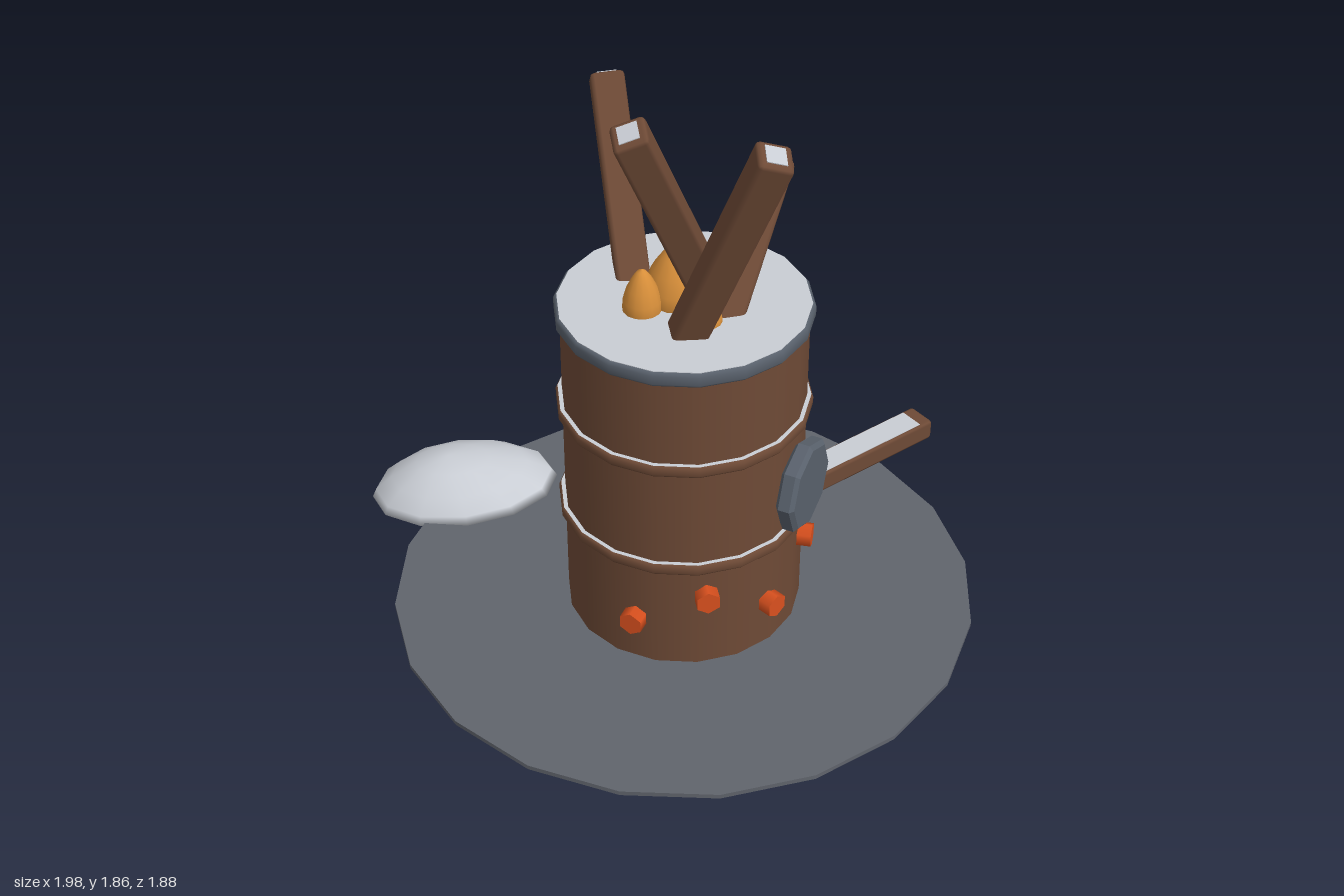
import * as THREE from 'three';
import { RoundedBoxGeometry } from 'three/addons/geometries/RoundedBoxGeometry.js';

const mat = (name, color, side = THREE.FrontSide) => {
  const m = new THREE.MeshStandardMaterial({ color, side });
  m.name = name;
  return m;
};

export function createModel() {
  const rust = mat('rusty brown', 0x6e4a36);
  const slate = mat('slate metal', 0x59616c);
  const ground = mat('ash ground', 0x60646c);
  const snow = mat('snow', 0xc9cdd4);
  const ember = mat('ember orange', 0xd9501e);
  const flame = mat('flame amber', 0xd88f3a);

  const model = new THREE.Group();
  model.name = 'fireBarrel';
  const CX = 0.015;
  const add = (name, geo, material, x = 0, y = 0, z = 0, parent = model) => {
    const mesh = new THREE.Mesh(geo, material);
    mesh.name = name;
    mesh.position.set(x, y, z);
    parent.add(mesh);
    return mesh;
  };
  const lathe = (pts, seg) => new THREE.LatheGeometry(pts.map(([r, y]) => new THREE.Vector2(r, y)), seg);

  // Ground disc
  add('groundDisc', new THREE.CylinderGeometry(0.94, 0.94, 0.015, 20), ground, CX, 0.0185, 0);

  // Barrel body, hoops, rim and snowy lid
  add('barrelBody', new THREE.CylinderGeometry(0.377, 0.377, 1.1, 18), rust, CX, 0.565, 0);
  const hoop = [[0.37, -0.019], [0.389, -0.019], [0.396, -0.01], [0.396, 0.01], [0.389, 0.019], [0.37, 0.019]];
  for (const y of [0.413, 0.79]) {
    add('barrelHoop', lathe(hoop, 18), rust, CX, y, 0);
    const cap = add('hoopSnow', new THREE.RingGeometry(0.375, 0.39, 18), snow, CX, y + 0.021, 0);
    cap.rotation.set(-Math.PI / 2, 0, Math.PI / 2);
  }
  const rim = [[0.37, -0.024], [0.385, -0.024], [0.393, -0.014], [0.393, 0.014], [0.385, 0.024], [0.37, 0.024]];
  add('barrelRim', lathe(rim, 18), slate, CX, 1.12, 0);
  add('lidSnow', new THREE.CylinderGeometry(0.383, 0.383, 0.005, 18), snow, CX, 1.1435, 0);

  // Glowing vent plugs, alternating in height around the barrel
  for (let i = 0; i < 7; i++) {
    const a = THREE.MathUtils.degToRad(-84 + 34 * i);
    const plug = add('ventPlug', new THREE.CylinderGeometry(0.04, 0.04, 0.055, 6).toNonIndexed(), ember,
      CX + 0.388 * Math.cos(a), i % 2 ? 0.3 : 0.19, 0.388 * Math.sin(a));
    plug.rotation.set(Math.PI / 2, Math.PI / 2 - a, 0, 'YXZ');
  }

  // Octagonal hatch on the side
  const oct = new THREE.Shape();
  for (let i = 0; i < 8; i++) {
    const a = i * Math.PI / 4;
    oct[i ? 'lineTo' : 'moveTo'](0.135 * Math.cos(a), 0.135 * Math.sin(a));
  }
  oct.closePath();
  const hatchGeo = new THREE.ExtrudeGeometry(oct, {
    depth: 0.036, bevelEnabled: true, bevelThickness: 0.012, bevelSize: 0.014, bevelSegments: 1,
  });
  hatchGeo.translate(0, 0, -0.018);
  const hatchAngle = THREE.MathUtils.degToRad(32);
  const hatch = add('sideHatch', hatchGeo, slate,
    CX + 0.402 * Math.cos(hatchAngle), 0.58, 0.402 * Math.sin(hatchAngle));
  hatch.rotation.y = Math.PI / 2 - hatchAngle;

  // Logs leaning out of the barrel: [base, tip]
  const logs = [
    [[0.1, 1.15, 0.02], [-0.165, 1.84, 0.22]],
    [[0.01, 1.15, 0.165], [0.22, 1.82, 0.35]],
    [[-0.125, 1.13, -0.165], [-0.165, 1.635, -0.52]],
    [[0.125, 1.12, 0.07], [0.31, 1.5, -0.19]],
  ];
  const up = new THREE.Vector3(0, 1, 0);
  logs.forEach(([b, t]) => {
    const base = new THREE.Vector3(...b), tip = new THREE.Vector3(...t);
    const dir = tip.clone().sub(base).normalize();
    const len = tip.distanceTo(base) + 0.1;
    const log = new THREE.Group();
    log.name = 'log';
    log.position.copy(tip);
    log.quaternion.setFromUnitVectors(up, dir);
    model.add(log);
    add('logWood', new RoundedBoxGeometry(0.105, len, 0.105, 1, 0.014), rust, 0, -len / 2, 0, log);
    add('logSnow', new THREE.BoxGeometry(0.06, 0.006, 0.065), snow, 0, 0, 0, log);
  });

  // Flames: teardrops [x, z, radius, top]
  const drop = [[0.9, 0], [1, 0.12], [0.96, 0.32], [0.78, 0.58], [0.5, 0.8], [0.25, 0.94], [0, 1]];
  for (const [x, z, r, top] of [[0, -0.02, 0.105, 1.325], [-0.115, 0.04, 0.06, 1.285],
    [0.125, -0.08, 0.06, 1.27], [0.06, 0.12, 0.055, 1.225]]) {
    add('flame', lathe(drop.map(([k, h]) => [k * r, h * (top - 1.13)]), 14), flame, x, 1.13, z);
  }

  // Snow-topped plank lying on the ground
  const plank = new THREE.Group();
  plank.name = 'plank';
  plank.position.set(0.64, 0.066, -0.532);
  plank.rotation.y = Math.atan2(0.385, 0.645);
  model.add(plank);
  add('plankWood', new RoundedBoxGeometry(0.735, 0.076, 0.108, 1, 0.012), rust, 0, 0, 0, plank);
  add('plankSnow', new THREE.BoxGeometry(0.61, 0.006, 0.088), snow, 0.01, 0.037, 0, plank);

  // Snow mound: stacked elliptical rings with pointed ends
  const N = 12;
  const rings = [[0, 0.6], [0.025, 1], [0.055, 0.95], [0.1, 0.74], [0.142, 0.4]];
  const pos = [-0.68, 0, -0.59], idx = [];
  rings.forEach(([y, s]) => {
    for (let i = 0; i < N; i++) {
      const a = i / N * Math.PI * 2;
      const lift = y > 0.02 ? 0.02 * Math.cos(a) * s : 0;
      pos.push(-0.68 - (1 - s) * 0.06 + 0.32 * s * Math.cos(a), y + (y < 0.12 ? lift : 0), -0.59 + 0.22 * s * Math.sin(a));
    }
  });
  pos.push(-0.73, 0.162, -0.59);
  const last = rings.length * N + 1;
  for (let i = 0; i < N; i++) {
    const j = (i + 1) % N;
    idx.push(0, 1 + i, 1 + j);
    for (let k = 0; k < rings.length - 1; k++) {
      const a = 1 + k * N + i, b = 1 + k * N + j;
      idx.push(a, a + N, b, b, a + N, b + N);
    }
    idx.push(last - N + i, last, last - N + j);
  }
  const mound = new THREE.BufferGeometry();
  mound.setAttribute('position', new THREE.Float32BufferAttribute(pos, 3));
  mound.setIndex(idx);
  mound.computeVertexNormals();
  add('snowMound', mound, snow);

  return model;
}
